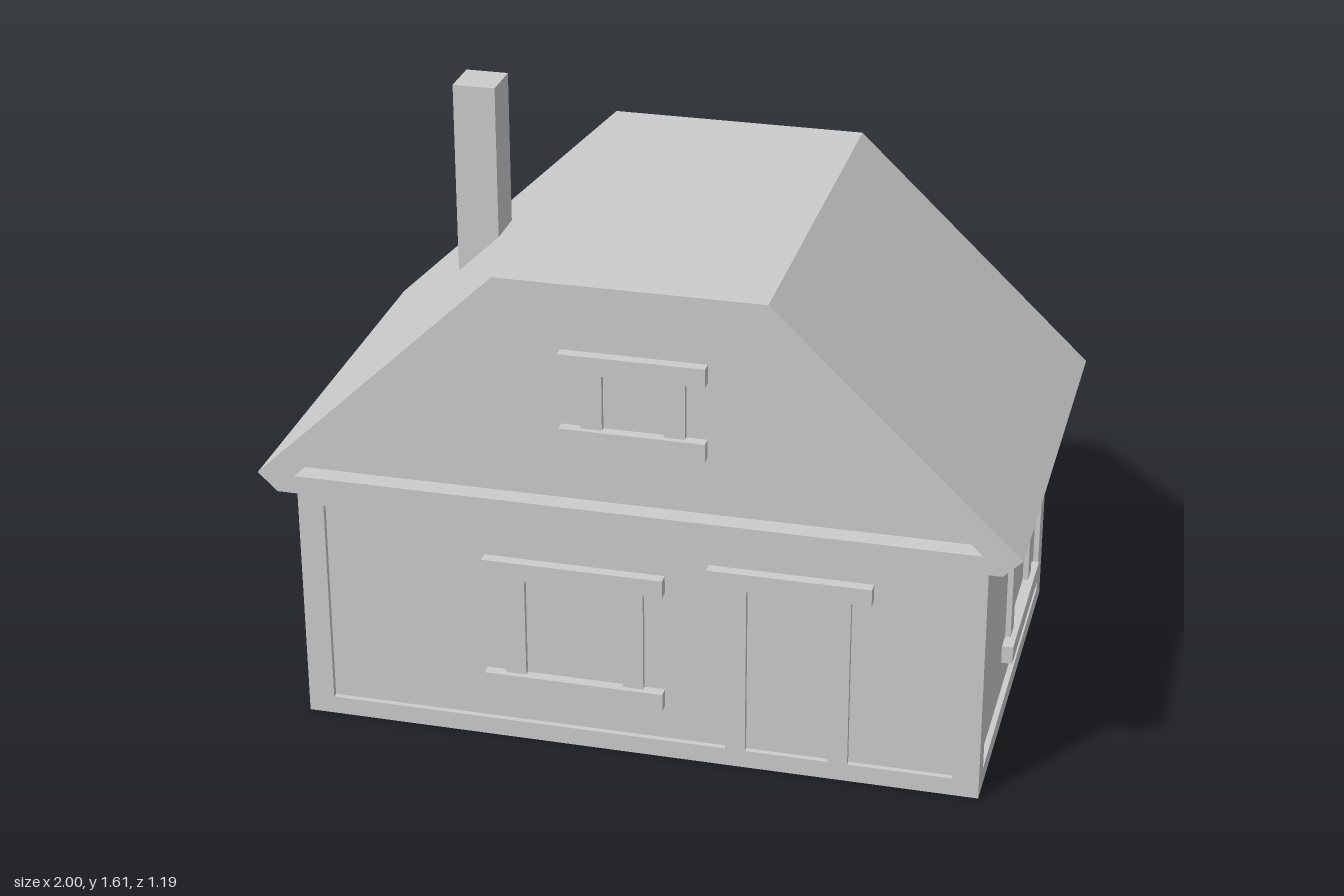
import * as THREE from 'three';

const W = 0.91, D = 0.555, H = 0.68; // wall half width, half depth, height
const INSET = 0.015;                 // depth of the sunken wall panels
const ROOF_D = 0.595;                // roof half depth
const PANEL = D - INSET;             // plane of the sunken front and back panels

const material = new THREE.MeshStandardMaterial({ color: 0xcccccc, flatShading: true });

function add(parent, name, geometry) {
  const mesh = new THREE.Mesh(geometry, material);
  mesh.name = name;
  parent.add(mesh);
  return mesh;
}

// Box given by its extents
function box(parent, name, x0, x1, y0, y1, z0, z1) {
  const mesh = add(parent, name, new THREE.BoxGeometry(x1 - x0, y1 - y0, z1 - z0));
  mesh.position.set((x0 + x1) / 2, (y0 + y1) / 2, (z0 + z1) / 2);
  return mesh;
}

// Outline (with an optional hole) extruded from z0 to z1
function slab(parent, name, outline, hole, z0, z1) {
  const toVectors = (pts) => pts.map(([x, y]) => new THREE.Vector2(x, y));
  const shape = new THREE.Shape(toVectors(outline));
  if (hole) shape.holes.push(new THREE.Path(toVectors(hole)));
  const geometry = new THREE.ExtrudeGeometry(shape, { depth: z1 - z0, bevelEnabled: false });
  return add(parent, name, geometry.translate(0, 0, z0));
}

const rect = (x, y0, y1) => [[-x, y0], [x, y0], [x, y1], [-x, y1]];

// Window on a panel at z: two posts flush with the wall frame, lintel and sill proud of it
function makeWindow(name, x0, x1, y0, y1, z) {
  const group = new THREE.Group();
  group.name = name;
  const bar = 0.05, post = 0.055;
  box(group, 'windowSill', x0, x1, y0, y0 + bar, z, z + 0.03);
  box(group, 'windowLintel', x0, x1, y1 - bar, y1, z, z + 0.03);
  for (const px of [x0 + 0.055, x1 - 0.055 - post]) {
    box(group, 'windowPost', px, px + post, y0 + bar, y1 - bar, z, z + INSET);
  }
  return group;
}

export function createModel() {
  const house = new THREE.Group();
  house.name = 'house';

  // Walls: a solid core with a raised frame on each side
  const walls = new THREE.Group();
  walls.name = 'walls';
  house.add(walls);
  box(walls, 'wallCore', -W + INSET, W - INSET, 0, H, -PANEL, PANEL);
  for (const turn of [0, Math.PI]) {
    const long = slab(walls, 'longWallFrame', rect(W, 0, H), rect(0.84, 0.05, 0.63), PANEL, D);
    long.rotation.y = turn;
    const end = slab(walls, 'endWallFrame', rect(PANEL, 0, H), rect(0.487, 0.05, 0.63), W - INSET, W);
    end.rotation.y = turn + Math.PI / 2;
  }

  // Roof: clipped gable prism with a rim around each sunken gable
  const roof = new THREE.Group();
  roof.name = 'roof';
  house.add(roof);
  const profile = [[-0.95, H], [0.95, H], [1, 0.73], [0.35, 1.35], [-0.35, 1.35], [-1, 0.73]];
  const gable = [[-0.9, 0.73], [0.9, 0.73], [0.295, 1.305], [-0.295, 1.305]];
  slab(roof, 'roofCore', profile, null, -PANEL, PANEL);
  slab(roof, 'frontGableRim', profile, gable, PANEL, ROOF_D);
  slab(roof, 'backGableRim', profile, gable, -ROOF_D, -PANEL);

  // Chimney
  box(house, 'chimney', -0.64, -0.525, 0.9, 1.605, -0.148, -0.027);

  // Windows on the front, in the gable and on both ends
  house.add(makeWindow('frontWindow', -0.408, 0.075, 0.147, 0.535, PANEL));
  house.add(makeWindow('gableWindow', -0.193, 0.187, 0.89, 1.147, PANEL));
  for (const [name, turn] of [['leftWindow', Math.PI / 2], ['rightWindow', -Math.PI / 2]]) {
    const win = makeWindow(name, -0.11, 0.377, 0.147, 0.532, W - INSET);
    win.rotation.y = turn;
    house.add(win);
  }

  // Door: two posts under a lintel
  const door = new THREE.Group();
  door.name = 'door';
  house.add(door);
  box(door, 'doorLintel', 0.19, 0.62, 0.535, 0.583, PANEL, PANEL + 0.03);
  for (const x of [0.24, 0.512]) {
    box(door, 'doorPost', x, x + 0.053, 0.05, 0.535, PANEL, D);
  }

  return house;
}
